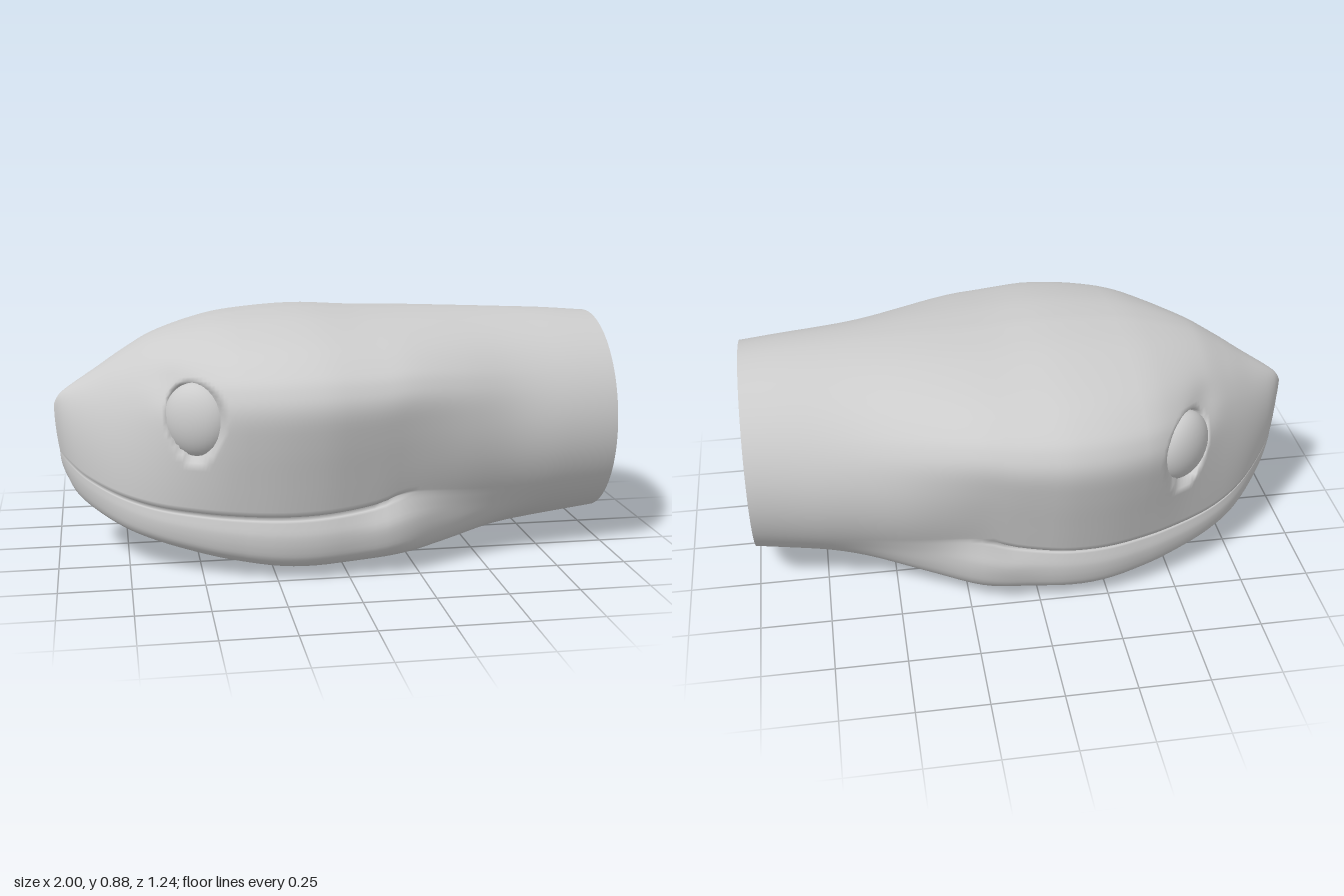
import * as THREE from 'three';

// Smooth interpolation through [x, value] pairs
function track(pairs) {
  const slope = (i) => {
    const a = pairs[Math.max(i - 1, 0)], b = pairs[Math.min(i + 1, pairs.length - 1)];
    return (b[1] - a[1]) / (b[0] - a[0]);
  };
  return (x) => {
    let i = 0;
    while (i < pairs.length - 2 && x > pairs[i + 1][0]) i++;
    const [x0, y0] = pairs[i], [x1, y1] = pairs[i + 1];
    const h = x1 - x0, t = Math.min(Math.max((x - x0) / h, 0), 1), s = 1 - t;
    return y0 * s * s * (1 + 2 * t) + y1 * t * t * (1 + 2 * s)
      + slope(i) * h * t * s * s - slope(i + 1) * h * t * t * s;
  };
}

// Outlines along the body, from snout (-1) to neck (1)
const halfWidth = track([[-1, 0], [-0.98, 0.055], [-0.93, 0.13], [-0.8, 0.275], [-0.66, 0.395], [-0.52, 0.49],
  [-0.4, 0.555], [-0.25, 0.605], [-0.1, 0.622], [0, 0.612], [0.2, 0.575], [0.4, 0.52], [0.6, 0.455], [0.8, 0.415], [1, 0.38]]);
const topLine = track([[-1, 0.545], [-0.985, 0.575], [-0.95, 0.605], [-0.85, 0.67], [-0.75, 0.735], [-0.64, 0.795],
  [-0.45, 0.85], [-0.3, 0.87], [-0.1, 0.88], [0.1, 0.87], [0.4, 0.865], [0.8, 0.85], [1, 0.835]]);
const bottomLine = track([[-1, 0.26], [-0.97, 0.215], [-0.93, 0.185], [-0.85, 0.15], [-0.7, 0.1], [-0.55, 0.06],
  [-0.4, 0.028], [-0.2, 0.003], [0, 0.008], [0.15, 0.018], [0.4, 0.025], [0.7, 0.052], [1, 0.085]]);
const mouthLine = track([[-1, 0.37], [-0.9, 0.305], [-0.7, 0.25], [-0.5, 0.232], [-0.3, 0.228], [-0.1, 0.235],
  [0.1, 0.26], [0.2, 0.3], [0.35, 0.31], [1, 0.31]]);

// Half cross-section: [fraction of width, fraction from mouth to top or bottom]
const spline = (pts, n) => new THREE.SplineCurve(pts.map((p) => new THREE.Vector2(...p))).getPoints(n);
const upper = spline([[0, 1], [0.32, 0.977], [0.69, 0.89], [0.89, 0.78], [0.97, 0.69], [1, 0.58],
  [0.97, 0.41], [0.915, 0.2], [0.865, 0.015]], 36);
const lower = spline([[0.86, 0.05], [0.856, 0.25], [0.848, 0.5], [0.815, 0.72], [0.715, 0.865], [0.4, 0.965], [0, 1]], 24);
const profile = [
  ...upper.map((p) => ({ u: p.x, v: p.y, kind: 'upper' })),
  { u: 0.862, v: 0, kind: 'groove' },
  ...lower.map((p) => ({ u: p.x, v: p.y, kind: 'lower' })),
];
// Matching angle on the round neck for each profile point
for (const p of profile) {
  const y = p.kind === 'lower' ? 0.235 * (1 - p.v) : 0.235 + 0.645 * p.v;
  p.angle = Math.atan2(p.u * 0.62 / 0.6, (y - 0.44) / 0.44);
}

const EYE = { x: -0.52, y: 0.562 };

function surfacePoint(x, p) {
  const w = halfWidth(x), top = topLine(x), bottom = bottomLine(x), m = mouthLine(x);
  const isLower = p.kind === 'lower';
  // The snout is a dome, widest at the lips
  const dome = 1 - THREE.MathUtils.smoothstep(x, -0.9, -0.35);
  let u = isLower ? p.u * (1 + 0.12 * dome)
    : THREE.MathUtils.lerp(p.u, 0.97 * Math.sqrt(Math.max(0, 1 - p.v ** 2.2)), dome);
  // Mouth groove, with the lower lip rolling out below it
  const open = 1 - THREE.MathUtils.smoothstep(x, 0.08, 0.22);
  if (p.kind === 'groove') u -= 0.07 * open;
  if (isLower) {
    u -= 0.03 * open * Math.max(0, 1 - p.v / 0.28);
    // Jaw corner
    u *= 1 + 0.06 * Math.min(1, p.v * 3) * Math.exp(-(((x - 0.2) / 0.13) ** 2));
  }
  const y = isLower ? m + (bottom - m) * p.v : m + (top - m) * p.v;
  // Blend from the head into the round neck, later along the jaw
  const delay = isLower ? 0.12 * Math.min(1, p.v * 2) : 0;
  const b = THREE.MathUtils.smoothstep(x, 0.03 + delay, 0.8);
  let z = THREE.MathUtils.lerp(u * w, Math.sin(p.angle) * w, b);
  const py = THREE.MathUtils.lerp(y, (top + bottom) / 2 + Math.cos(p.angle) * (top - bottom) / 2, b);
  // Eye socket, narrower toward its lower end, and the hollow in front of the brow
  if (x < -0.25 && p.kind === 'upper') {
    const dy = (py - EYE.y) / 0.13;
    const d = Math.hypot((x - EYE.x) / (0.09 + 0.016 * dy), dy);
    z -= 0.06 * (1 - THREE.MathUtils.smoothstep(d, 0.8, 1.06));
    z -= 0.02 * Math.exp(-(((x + 0.6) / 0.07) ** 2) - ((py - 0.67) / 0.06) ** 2);
  }
  // The lip and jaw recede slightly below the tip of the snout
  const front = 1 - THREE.MathUtils.smoothstep(x, -1, -0.7);
  const back = isLower ? 0.015 + 0.03 * p.v * p.v : 0.015 * (1 - p.v) ** 2;
  return [x + back * front, py, Math.max(z, 0)];
}

function headGeometry() {
  // Stations are closest together around the snout and eyes
  const xs = [];
  for (let x = -1; x < 0.99; x += x < -0.94 ? 0.01 : x < -0.36 ? 0.0125 : 0.04) xs.push(x);
  xs.push(1);
  const ring = 2 * profile.length - 2;
  const positions = [], index = [];
  xs.forEach((x, i) => {
    const side = profile.map((p) => surfacePoint(x, p));
    const mirrored = side.slice(1, -1).reverse().map(([a, b, c]) => [a, b, -c]);
    positions.push(...side.flat(), ...mirrored.flat());
    if (i === xs.length - 1) return;
    for (let j = 0; j < ring; j++) {
      const a = i * ring + j, b = i * ring + (j + 1) % ring;
      index.push(a, b, a + ring, b, b + ring, a + ring);
    }
  });
  const g = new THREE.BufferGeometry();
  g.setAttribute('position', new THREE.Float32BufferAttribute(positions, 3));
  g.setIndex(index);
  g.computeVertexNormals();
  return g;
}

export function createModel() {
  const group = new THREE.Group();
  group.name = 'snakeHead';
  const grey = new THREE.MeshStandardMaterial({ color: 0xcccccc });
  grey.name = 'plainGrey';
  const add = (geometry, name) => {
    const mesh = new THREE.Mesh(geometry, grey);
    mesh.name = name;
    group.add(mesh);
    return mesh;
  };

  add(headGeometry(), 'headAndNeck');

  // Flat cut at the end of the neck
  const cap = add(new THREE.CircleGeometry(1, 64), 'neckCap');
  cap.scale.set(0.38, 0.375, 1);
  cap.rotation.y = Math.PI / 2;
  cap.position.set(1, 0.46, 0);

  // Eyeballs, turned to follow the tapering cheeks
  for (const s of [1, -1]) {
    const eye = add(new THREE.SphereGeometry(1, 32, 24), s > 0 ? 'leftEye' : 'rightEye');
    eye.scale.set(0.125, 0.13, 0.075);
    eye.rotation.y = -s * 0.62;
    eye.position.set(EYE.x + 0.01, EYE.y - 0.003, s * 0.398);
  }
  return group;
}
